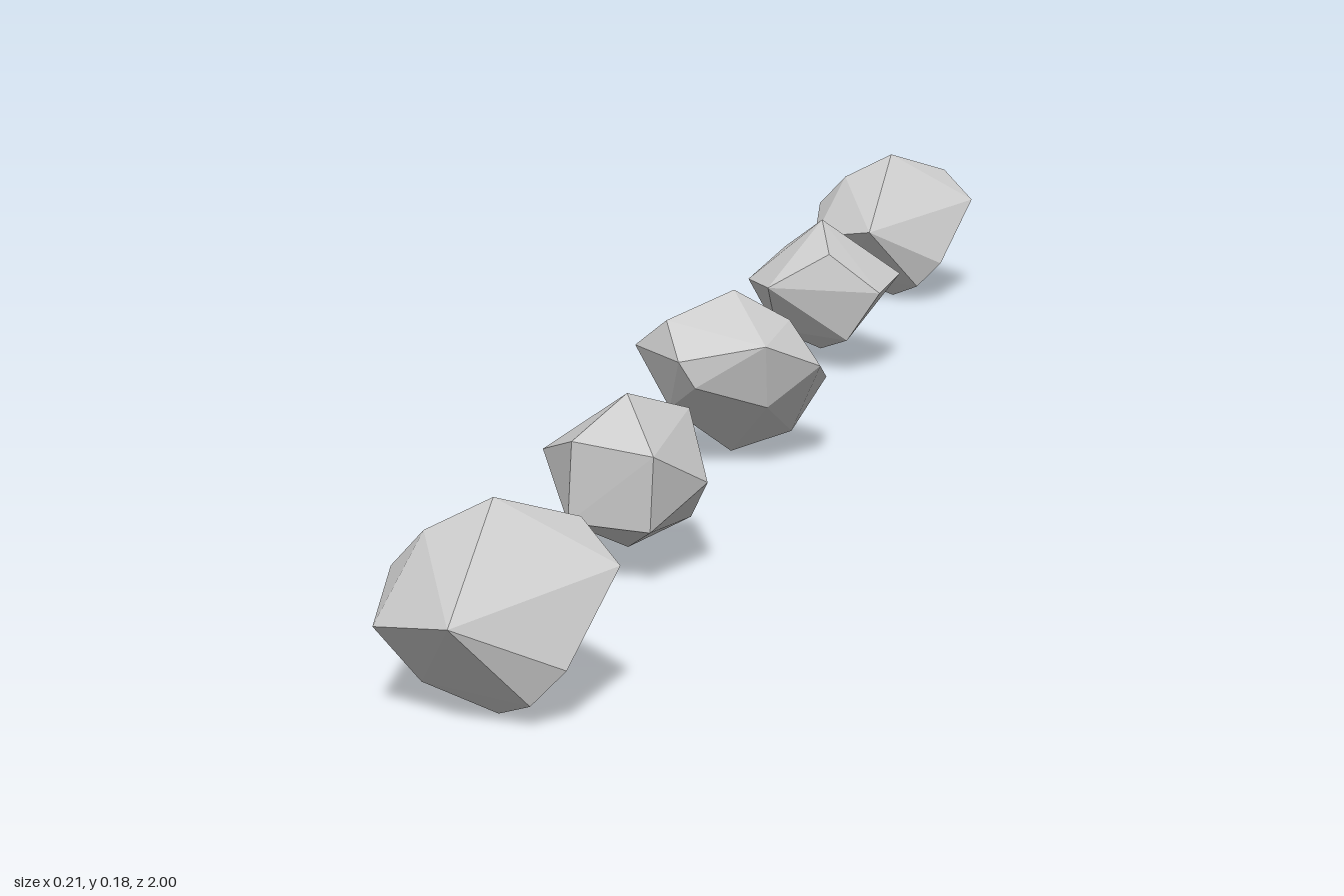
import * as THREE from 'three';
import { ConvexGeometry } from 'three/addons/geometries/ConvexGeometry.js';

// Corner points of each faceted stone, around its own vertical axis
const largeStone = [
  [0, 0.183, -0.005], [0.103, 0.123, -0.03], [-0.007, 0.099, 0.105],
  [-0.09, 0.08, 0.05], [-0.06, 0.152, 0.0], [0.008, 0.0, 0.015],
  [-0.058, 0.025, 0.02], [0.046, 0.02, 0.05], [0.075, 0.05, 0.04],
  [-0.1, 0.11, -0.03], [-0.053, 0.14, -0.085], [0.037, 0.123, -0.103],
  [0.062, 0.157, -0.055], [0.02, 0.095, -0.1], [-0.05, 0.07, -0.065],
  [0.06, 0.06, -0.05],
];
const roundPebble = [
  [0, 0.172, 0], [-0.087, 0.11, -0.01], [-0.04, 0.12, -0.086],
  [0.045, 0.145, -0.065], [0.08, 0.09, 0.005], [0.045, 0.13, 0.075],
  [-0.035, 0.14, 0.072], [-0.04, 0.06, 0.07], [0.04, 0.055, 0.07],
  [0, 0.02, 0], [0.05, 0.04, -0.05], [-0.05, 0.045, -0.045], [0.02, 0.09, -0.085],
];
const pointedPebble = [
  [0, 0.176, 0.005], [-0.09, 0.1, 0.005], [-0.058, 0.13, -0.055],
  [0.026, 0.13, -0.075], [0.09, 0.11, -0.02], [0.08, 0.1, 0.055],
  [-0.05, 0.105, 0.077], [0.02, 0.145, 0.06], [0, 0.02, 0.01],
  [0.04, 0.04, 0.05], [-0.05, 0.045, 0.03], [0.04, 0.05, -0.055], [-0.03, 0.05, -0.06],
];

export function createModel() {
  const group = new THREE.Group();
  group.name = 'rowOfStones';
  const material = new THREE.MeshStandardMaterial({ color: 0xcccccc, flatShading: true });
  const hull = (points) => new ConvexGeometry(points.map((p) => new THREE.Vector3(...p)));
  const large = hull(largeStone);

  // Row from front to back: name, shape, z, turn about y
  const row = [
    ['frontStone', large, 0.893, 0],
    ['frontPebble', hull(roundPebble), 0.45, 0],
    ['middleStone', large, -0.003, Math.PI],
    ['backPebble', hull(pointedPebble), -0.465, 0],
    ['backStone', large, -0.897, 0],
  ];
  for (const [name, geometry, z, turn] of row) {
    const stone = new THREE.Mesh(geometry, material);
    stone.name = name;
    stone.position.z = z;
    stone.rotation.y = turn;
    group.add(stone);
  }
  return group;
}
